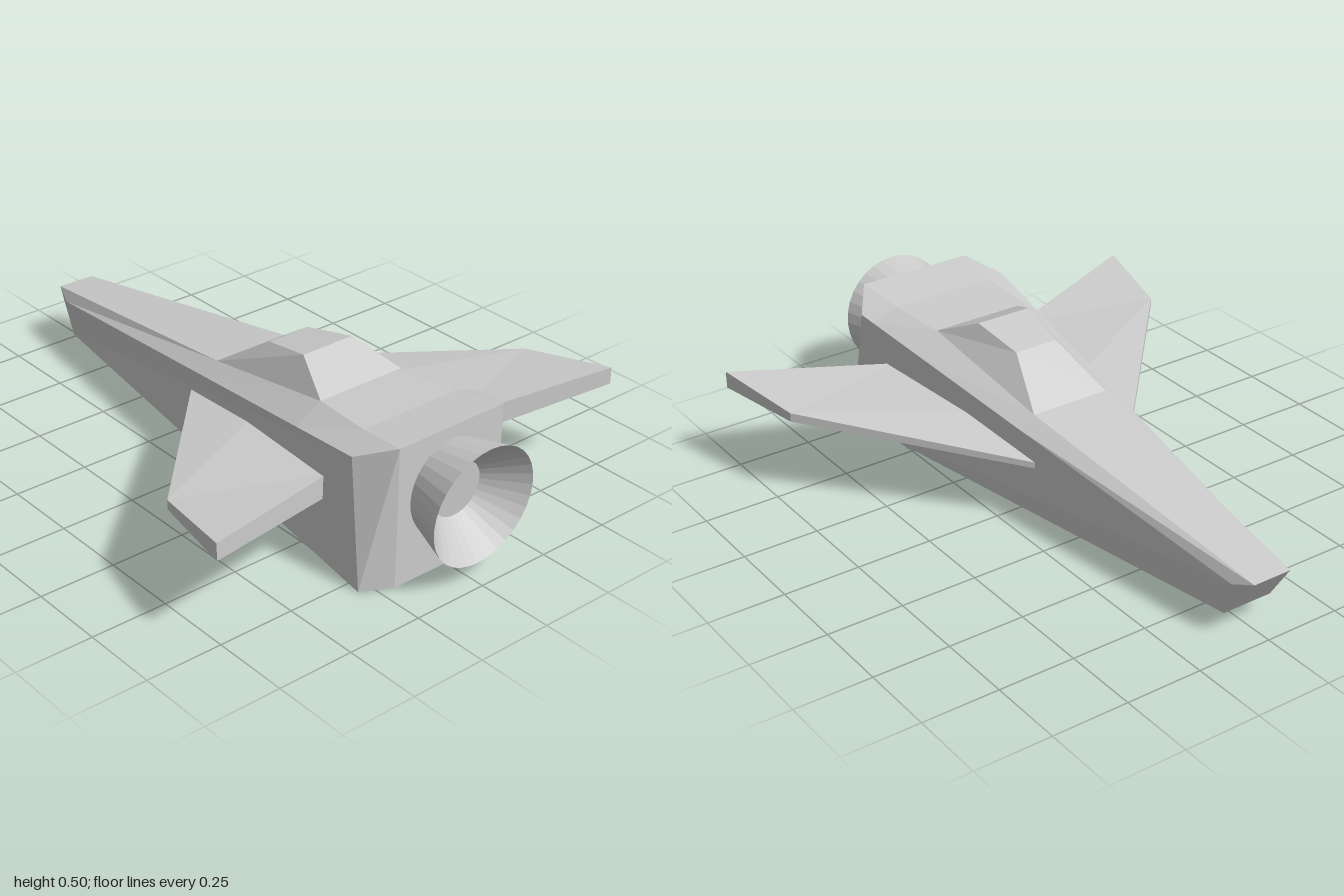
import * as THREE from 'three';

const mat = () => new THREE.MeshStandardMaterial({ color: 0xcccccc, flatShading: true });
const flip = ([x, y, z]) => [x, y, -z];
const mirrored = (poly) => poly.map(flip).reverse();

// Flat-sided mesh from convex polygons, each split as a fan from its first corner
function facets(name, polys) {
  const pos = [];
  for (const p of polys)
    for (let i = 1; i < p.length - 1; i++) pos.push(...p[0], ...p[i], ...p[i + 1]);
  const geo = new THREE.BufferGeometry();
  geo.setAttribute('position', new THREE.Float32BufferAttribute(pos, 3));
  geo.computeVertexNormals();
  const mesh = new THREE.Mesh(geo, mat());
  mesh.name = name;
  return mesh;
}

function hull() {
  // Upper ridge, nose to tail, and the canopy roof between ridge points 1 and 2
  const ridge = [[-1, 0.21, 0.065], [-0.04, 0.34, 0.135], [0.47, 0.427, 0.157], [0.68, 0.435, 0.18], [0.85, 0.457, 0.2]];
  const canopy = [[0.14, 0.46, 0.075], [0.32, 0.495, 0.095]];
  // Keel edge and tail bottom corner
  const keel = [[-0.9, 0.07, 0.085], [0.8, 0, 0.295]], tail = [0.85, 0, 0.2];
  // Shoulder edge, straight, sampled under each ridge point
  const s0 = new THREE.Vector3(-0.93, 0.185, 0.088), s1 = new THREE.Vector3(0.74, 0.41, 0.277);
  const shoulder = ridge.map(([x]) =>
    s0.clone().lerp(s1, THREE.MathUtils.clamp((x - s0.x) / (s1.x - s0.x), 0, 1)).toArray());
  const last = shoulder[4];

  const half = [
    [keel[0], keel[1], last, ...shoulder.slice(0, 4).reverse()], // flank
    [keel[0], shoulder[0], ridge[0]],                            // nose cheek
    [keel[1], tail, ridge[4], last],                             // tail chamfer
    [ridge[1], ridge[2], canopy[1], canopy[0]],                  // canopy side
  ];
  for (let i = 0; i < 4; i++) half.push([shoulder[i], shoulder[i + 1], ridge[i + 1], ridge[i]]);

  // Panels running across the hull, round its whole profile
  const loop = [ridge[0], ridge[1], ...canopy, ...ridge.slice(2), tail, keel[1], keel[0]];
  const across = loop.map((a, i) => {
    const b = loop[(i + 1) % loop.length];
    return [a, b, flip(b), flip(a)];
  });
  return facets('hull', [...half, ...half.map(mirrored), ...across]);
}

function wing(name, left) {
  // Corners as x, z, lower y, upper y: tip front, tip rear, root rear, root middle, root front
  const corners = [[0.46, 0.705, 0.275, 0.305], [0.76, 0.768, 0.285, 0.341], [0.605, 0.25, 0.205, 0.28],
    [0.2, 0.2, 0.188, 0.262], [-0.12, 0.175, 0.2, 0.22]];
  const low = corners.map(([x, z, y]) => [x, y, z]);
  const up = corners.map(([x, z, , y]) => [x, y, z]);
  const polys = [up, [low[0], ...low.slice(1).reverse()]];
  corners.forEach((_, i) => {
    const j = (i + 1) % corners.length;
    polys.push([low[i], low[j], up[j], up[i]]);
  });
  if (left) return facets(name, polys);
  // Keep the fan starting at the wing tip so both sides crease alike
  return facets(name, polys.map((p) => {
    const m = mirrored(p);
    return [m[m.length - 1], ...m.slice(0, -1)];
  }));
}

function engine() {
  // Flared bell with a conical throat and a flat floor, tipped slightly downward
  const profile = [[0.147, -0.155], [0.193, 0], [0.09, -0.11], [0, -0.11]].map(([r, h]) => new THREE.Vector2(r, h));
  const mesh = new THREE.Mesh(new THREE.LatheGeometry(profile, 32), mat());
  mesh.material.side = THREE.DoubleSide;
  mesh.rotation.z = -Math.PI / 2 - 0.065;
  mesh.position.set(0.988, 0.257, 0);
  mesh.name = 'engineNozzle';
  return mesh;
}

export function createModel() {
  const group = new THREE.Group();
  group.name = 'spaceship';
  group.add(hull(), wing('leftWing', true), wing('rightWing', false), engine());
  // Wings named by the side of the hull they sit on: front face (+z) and back face (-z)
  group.children[1].name = 'frontWing';
  group.children[2].name = 'backWing';
  return group;
}
